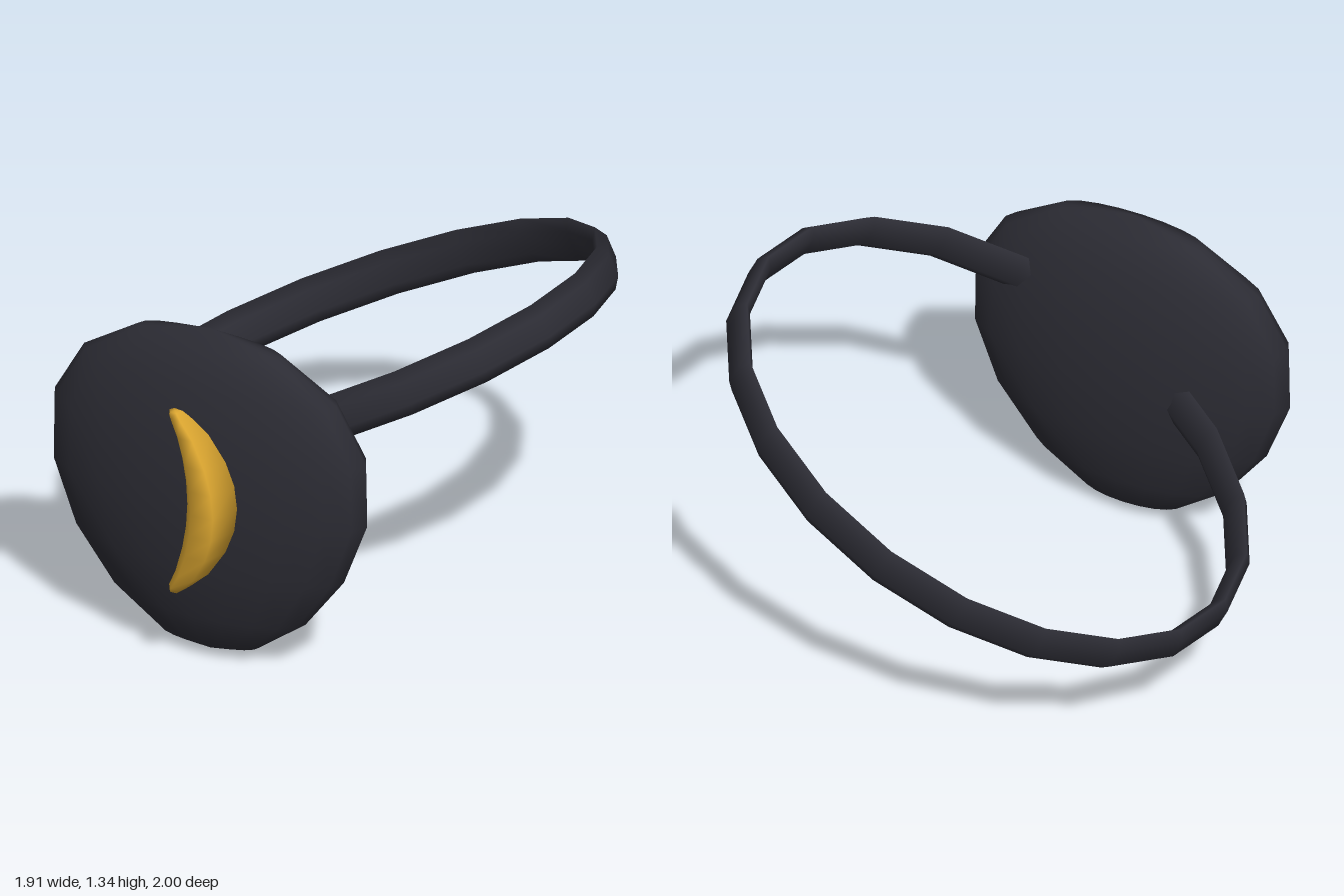
import * as THREE from 'three';
import { mergeVertices } from 'three/addons/utils/BufferGeometryUtils.js';

// weld seams so the shading is smooth all round
function smooth(geo) {
  geo.deleteAttribute('uv');
  geo.deleteAttribute('normal');
  const g = mergeVertices(geo, 1e-4);
  g.computeVertexNormals();
  return g;
}

// lens-shaped pad, wider at the top than at the bottom
function padGeometry() {
  const geo = new THREE.SphereGeometry(1, 20, 8);
  const p = geo.attributes.position;
  for (let i = 0; i < p.count; i++) {
    const y = p.getY(i);
    p.setXYZ(i, p.getX(i) * 0.627 * (1 + 0.2 * y), y * 0.64, p.getZ(i) * 0.19);
  }
  return smooth(geo);
}

// flat hexagonal band swept round a circle
function strapGeometry() {
  const points = [];
  for (let i = 0; i <= 6; i++) {
    const a = -Math.PI / 2 + (i % 6) * Math.PI / 3;
    points.push(new THREE.Vector2(1.01 + 0.034 * Math.cos(a), 0.085 * Math.sin(a)));
  }
  return smooth(new THREE.LatheGeometry(points, 20));
}

// five-sided crescent lofted from bottom to top
function crescentGeometry() {
  const section = [[-0.09, 0], [-0.04, 0.07], [0.05, 0.07], [0.085, -0.045], [-0.05, -0.065]];
  const half = [ // height, sideways shift, size
    [0, 0, 1], [0.09, -0.008, 0.97], [0.18, -0.032, 0.87],
    [0.28, -0.078, 0.66], [0.34, -0.125, 0.42], [0.36, -0.138, 0.26], [0.362, -0.14, 0],
  ];
  const rows = [...half.slice(1).reverse().map(([y, x, s]) => [-y, x, s]), ...half];
  const pos = [], index = [], n = section.length;
  rows.forEach(([y, x, s], j) => {
    section.forEach(([sx, sz], i) => {
      pos.push(x + sx * s, y, sz * s);
      if (j === rows.length - 1) return;
      const a = j * n + i, b = j * n + (i + 1) % n;
      index.push(a, b, b + n, a, b + n, a + n);
    });
  });
  const geo = new THREE.BufferGeometry();
  geo.setAttribute('position', new THREE.Float32BufferAttribute(pos, 3));
  geo.setIndex(index);
  const g = mergeVertices(geo, 1e-4);
  g.computeVertexNormals();
  return g;
}

export function createModel() {
  const group = new THREE.Group();
  group.name = 'eyePatch';
  const cloth = new THREE.MeshStandardMaterial({ color: 0x2c2c34 });
  cloth.name = 'darkCloth';
  const gold = new THREE.MeshStandardMaterial({ color: 0xdaa530 });
  gold.name = 'gold';

  const add = (name, geo, mat, x, y, z) => {
    const mesh = new THREE.Mesh(geo, mat);
    mesh.name = name;
    mesh.position.set(x, y, z);
    group.add(mesh);
    return mesh;
  };

  add('pad', padGeometry(), cloth, -0.118, 0.65, 0.705);
  add('crescent', crescentGeometry(), gold, 0, 0.7, 0.93);

  // oval head strap, tilted up towards the left side
  const strap = add('strap', strapGeometry(), cloth, 0, 0.832, -0.17);
  strap.scale.z = 0.797;
  strap.rotation.z = THREE.MathUtils.degToRad(25.7);
  return group;
}
